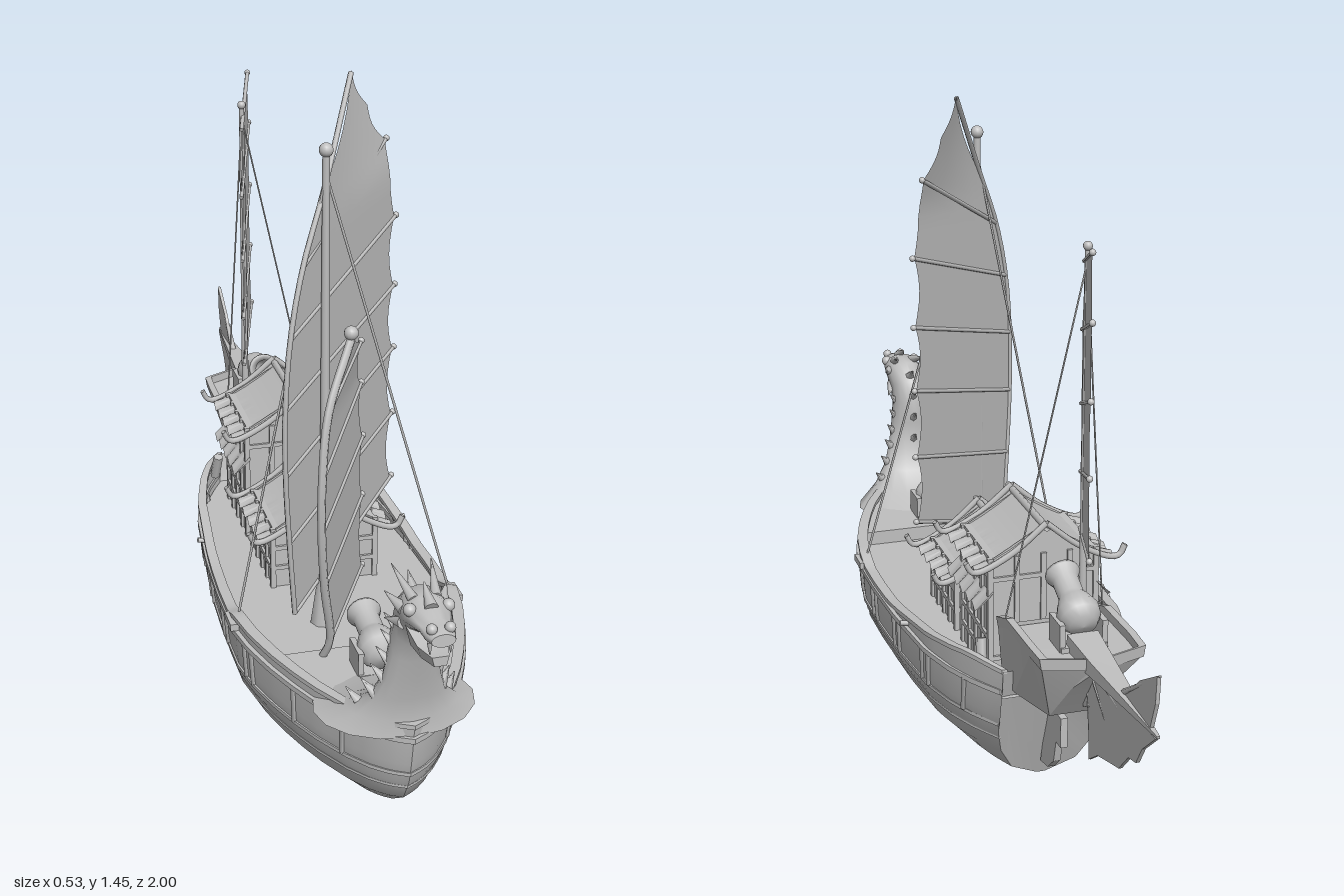
import * as THREE from 'three';
import { toCreasedNormals } from 'three/addons/utils/BufferGeometryUtils.js';

const grey = new THREE.MeshStandardMaterial({ color: 0xbfbfbf, side: THREE.DoubleSide });
grey.name = 'plain grey';
const V = (x, y, z) => new THREE.Vector3(x, y, z);

function lerpTable(table, k, col) {
  let i = 1;
  while (i < table.length - 1 && table[i][0] < k) i++;
  const a = table[i - 1], b = table[i];
  return THREE.MathUtils.lerp(a[col], b[col], THREE.MathUtils.clamp((k - a[0]) / (b[0] - a[0]), 0, 1));
}

export function createModel() {
  const ship = new THREE.Group();
  ship.name = 'dragonJunk';
  const add = (name, geo) => {
    const m = new THREE.Mesh(geo, grey);
    m.name = name;
    ship.add(m);
    return m;
  };
  // Skin a list of rings of points; closed joins each ring, caps fill the ends
  const loft = (name, rings, closed = false, caps = false, crease = 0.6) => {
    const n = rings[0].length, pos = [], idx = [];
    rings.forEach(r => r.forEach(p => pos.push(p.x, p.y, p.z)));
    for (let i = 0; i < rings.length - 1; i++)
      for (let j = 0; j < (closed ? n : n - 1); j++) {
        const a = i * n + j, b = i * n + (j + 1) % n;
        idx.push(a, b, a + n, b, b + n, a + n);
      }
    if (caps) for (let j = 1; j < n - 1; j++) {
      const e = (rings.length - 1) * n;
      idx.push(0, j + 1, j, e, e + j, e + j + 1);
    }
    const g = new THREE.BufferGeometry();
    g.setAttribute('position', new THREE.Float32BufferAttribute(pos, 3));
    g.setIndex(idx);
    return add(name, toCreasedNormals(g, crease));
  };
  const tube = (name, pts, r, sides = 6) =>
    add(name, new THREE.TubeGeometry(new THREE.CatmullRomCurve3(pts), pts.length > 2 ? 24 : 1, r, sides));
  const pole = (name, a, b, r0, r1, sides = 8) => {
    const d = b.clone().sub(a);
    const m = add(name, new THREE.CylinderGeometry(r1, r0, d.length(), sides));
    m.position.copy(a).addScaledVector(d, 0.5);
    m.quaternion.setFromUnitVectors(V(0, 1, 0), d.normalize());
    return m;
  };
  const box = (name, w, h, d, x, y, z) => add(name, new THREE.BoxGeometry(w, h, d)).position.set(x, y, z);
  const ball = (name, r, p) => add(name, new THREE.SphereGeometry(r, 14, 10)).position.copy(p);
  const plate = (name, pts, t) => {
    const g = new THREE.ExtrudeGeometry(new THREE.Shape(pts.map(p => new THREE.Vector2(-p[0], p[1]))), { depth: t, bevelEnabled: false });
    add(name, g.translate(0, 0, -t / 2).rotateY(Math.PI / 2));
  };

  // Hull lines: height, half width, bow z, stern z; then plan fullness and sheer
  const levels = [[0, 0.02, 0.58, -0.32], [0.035, 0.15, 0.70, -0.34], [0.09, 0.212, 0.775, -0.36],
    [0.15, 0.24, 0.81, -0.385], [0.2, 0.246, 0.823, -0.41], [0.27, 0.25, 0.835, -0.43], [0.34, 0.25, 0.84, -0.44]];
  const plan = [[0, 0], [0.015, 0.14], [0.04, 0.28], [0.08, 0.43], [0.145, 0.61], [0.2, 0.73], [0.26, 0.84], [0.33, 0.94],
    [0.4, 1], [0.52, 1], [0.655, 0.97], [0.81, 0.89], [0.89, 0.78], [0.95, 0.65], [1, 0.5]];
  const sheer = [[0, 0.3], [0.4, 0.3], [0.44, 0.28], [0.6, 0.28], [0.93, 0.33], [1, 0.32]];
  const hullAt = (t, y, s, grow = 0) => V(s * (lerpTable(levels, y, 1) + grow) * lerpTable(plan, t, 1), y,
    THREE.MathUtils.lerp(lerpTable(levels, y, 2) + grow, lerpTable(levels, y, 3), t));
  const ts = Array.from({ length: 49 }, (_, i) => (i / 48) ** 1.4);
  loft('hull', ts.map(t => {
    const ys = [0, 0.035, 0.06, 0.09, 0.12, 0.15, 0.2, 0.27, lerpTable(sheer, t, 1)];
    return [...ys.slice().reverse().map(y => hullAt(t, y, 1)), ...ys.map(y => hullAt(t, y, -1))];
  }), false, true);
  const deck = (name, y, t0, t1) => loft(name, Array.from({ length: 25 }, (_, i) => {
    const t = t0 + (t1 - t0) * i / 24;
    return [hullAt(t, y, 1, -0.004), hullAt(t, y, -1, -0.004)];
  }));
  deck('mainDeck', 0.25, 0.2, 1);
  deck('foreDeck', 0.285, 0.005, 0.27);
  const brk = hullAt(0.27, 0.268, 1);
  box('foreDeckStep', brk.x * 2 - 0.01, 0.034, 0.01, 0, 0.268, brk.z);

  // Rails, rubbing strakes and raised panel frames on both sides
  for (const s of [1, -1]) {
    const strake = (name, yOf, h, inn, out) => loft(name, ts.map(t => {
      const y = yOf(t), a = hullAt(t, y, s, -inn), b = hullAt(t, y, s, out);
      return [a, b, V(b.x, y + h, b.z), V(a.x, y + h, a.z)];
    }), true, true);
    strake('capRail', t => lerpTable(sheer, t, 1) - 0.005, 0.01, 0.018, 0.006);
    strake('upperStrake', () => 0.262, 0.012, 0.005, 0.01);
    strake('middleStrake', () => 0.17, 0.008, 0.005, 0.005);
    strake('lowerStrake', () => 0.13, 0.006, 0.005, 0.004);
    for (const t of [0.09, 0.2, 0.33, 0.36, 0.48, 0.51, 0.63, 0.66, 0.78, 0.81, 0.92])
      pole('panelFrame', hullAt(t, 0.175, s), hullAt(t, 0.265, s), 0.007, 0.007, 4);
    box('chainPlate', 0.03, 0.016, 0.06, s * 0.25, 0.282, 0.32);
    pole('oarPin', V(s * 0.225, 0.28, -0.06), V(s * 0.255, 0.285, -0.06), 0.006, 0.006);
  }

  // Rudder
  plate('rudder', [[-0.34, 0.04], [-0.39, 0.05], [-0.43, 0.085], [-0.445, 0.14], [-0.475, 0.14], [-0.475, 0.21], [-0.39, 0.21]], 0.016);

  // Overhanging stern castle: z, top, bottom, top half width, bottom half width
  const stern = [[-0.35, 0.41, 0.265, 0.11, 0.1], [-0.43, 0.44, 0.265, 0.113, 0.098], [-0.58, 0.445, 0.28, 0.113, 0.07],
    [-0.645, 0.445, 0.37, 0.11, 0.045], [-0.685, 0.45, 0.42, 0.015, 0.01]];
  loft('sternCastle', stern.map(([z, t, b, w, v]) => [V(w, t - 0.02, z), V(v, b, z), V(-v, b, z), V(-w, t - 0.02, z)]), true, true, 0.2);
  for (const s of [1, -1])
    loft('sternRail', stern.map(([z, t, , w]) => [V(s * w, t - 0.025, z), V(s * (w + 0.004), t, z), V(s * Math.max(0, w - 0.012), t, z),
      V(s * Math.max(0, w - 0.012), t - 0.025, z)]), true, true, 0.2);

  // Fish tail fin with ribs
  loft('tailSpine', [[-0.58, 0.034, 0.05], [-0.7, 0.026, 0.032], [-0.85, 0.014, 0.018], [-1, 0.003, 0.005]].map(([z, w, h]) =>
    [V(w, 0.435 + h / 2, z), V(w, 0.435 - h / 2, z), V(-w, 0.435 - h / 2, z), V(-w, 0.435 + h / 2, z)]), true, true, 0.2);
  plate('upperTailFin', [[-0.83, 0.44], [-0.91, 0.51], [-0.995, 0.56], [-0.99, 0.5], [-0.965, 0.435]], 0.008);
  plate('lowerTailFin', [[-0.6, 0.42], [-0.6, 0.3], [-0.635, 0.32], [-0.64, 0.2], [-0.69, 0.235], [-0.74, 0.25], [-0.81, 0.27],
    [-0.86, 0.32], [-0.9, 0.33], [-0.93, 0.375], [-0.995, 0.43]], 0.008);
  for (const [z, y] of [[-0.64, 0.2], [-0.81, 0.27], [-0.93, 0.375]])
    pole('tailRib', V(0, 0.42, -0.62), V(0, y, z), 0.008, 0.002, 6);
  pole('tailRib', V(0, 0.44, -0.82), V(0, 0.56, -0.998), 0.008, 0.002, 6);

  // Dragon neck and head: front z, y, back z, y, half width
  loft('dragonNeck', [[0.83, 0.27, 0.56, 0.275, 0.17], [0.826, 0.31, 0.67, 0.305, 0.115], [0.832, 0.36, 0.74, 0.345, 0.078], [0.845, 0.41, 0.772, 0.4, 0.06],
    [0.857, 0.46, 0.77, 0.47, 0.05], [0.87, 0.5, 0.767, 0.53, 0.044], [0.885, 0.53, 0.785, 0.58, 0.043], [0.9, 0.55, 0.835, 0.618, 0.047],
    [0.915, 0.56, 0.895, 0.626, 0.045], [0.945, 0.57, 0.94, 0.604, 0.032], [0.975, 0.57, 0.97, 0.606, 0.031], [0.997, 0.574, 0.995, 0.6, 0.024]].map(([fz, fy, bz, by, w]) =>
    Array.from({ length: 16 }, (_, i) => {
      const a = i / 16 * Math.PI * 2, c = Math.cos(a) / 2;
      return V(Math.sin(a) * w, (fy + by) / 2 + c * (fy - by), (fz + bz) / 2 + c * (fz - bz));
    })), true, true, 1.2);
  loft('lowerJaw', [[0.88, 0.56, 0.515, 0.038], [0.93, 0.542, 0.515, 0.03], [0.982, 0.545, 0.525, 0.017]].map(([z, t, b, w]) =>
    [V(w, t, z), V(w * 0.7, b, z), V(-w * 0.7, b, z), V(-w, t, z)]), true, true, 0.5);
  for (const s of [1, -1]) {
    ball('eye', 0.013, V(s * 0.038, 0.607, 0.905));
    ball('nostril', 0.011, V(s * 0.018, 0.604, 0.978));
    pole('horn', V(s * 0.022, 0.612, 0.88), V(s * 0.04, 0.645, 0.79), 0.012, 0.001);
    pole('ear', V(s * 0.038, 0.59, 0.87), V(s * 0.062, 0.605, 0.82), 0.014, 0.001);
    pole('cheekSpike', V(s * 0.036, 0.555, 0.86), V(s * 0.058, 0.54, 0.81), 0.014, 0.001);
    pole('fang', V(s * 0.02, 0.575, 0.975), V(s * 0.02, 0.55, 0.978), 0.006, 0.001);
    for (const [x, y, z] of [[0.1, 0.32, 0.76], [0.078, 0.355, 0.79], [0.063, 0.395, 0.805], [0.054, 0.435, 0.81], [0.046, 0.475, 0.815], [0.042, 0.515, 0.82]])
      pole('neckScale', V(s * (x - 0.012), y, z), V(s * (x + 0.014), y + 0.03, z - 0.022), 0.014, 0.001, 6);
  }
  for (const [y, z] of [[0.42, 0.772], [0.48, 0.77], [0.54, 0.77], [0.59, 0.795]])
    pole('crestSpine', V(0, y, z + 0.01), V(0, y + 0.025, z - 0.025), 0.012, 0.001, 6);
  pole('brow', V(0, 0.615, 0.92), V(0, 0.642, 0.87), 0.014, 0.002);

  // Cabins with panelled walls and wavy sagging gable roofs
  const cabin = (z0, z1, eave, ridge) => {
    const zm = (z0 + z1) / 2, len = z0 - z1 - 0.04, h = eave + 0.02 - 0.25;
    box('cabinWalls', 0.24, h, len, 0, 0.25 + h / 2, zm);
    const roofAt = (f, z, drop = 0) => V(f * 0.15, ridge - (ridge - eave) * (1.35 * Math.abs(f) - 0.35 * f * f) - drop, z);
    loft('cabinRoof', Array.from({ length: 33 }, (_, i) => {
      const z = z0 + (z1 - z0) * i / 32, wave = 0.007 * Math.cos(i / 32 * Math.PI * 10);
      return [-1.05, -0.75, -0.5, -0.25, 0, 0.25, 0.5, 0.75, 1.05].map(f => roofAt(f, z, Math.abs(f) > 1 ? wave : 0));
    }));
    for (const z of [z0, z1]) {
      for (const s of [1, -1])
        tube('roofSpar', [roofAt(0, z, -0.01), roofAt(s * 0.5, z), roofAt(s, z), V(s * 0.168, eave + 0.003, z), V(s * 0.18, eave + 0.025, z)], 0.007);
      const inner = z + (z === z0 ? -0.02 : 0.02);
      loft('gable', [[V(-0.12, eave + 0.015, inner), V(0.12, eave + 0.015, inner)], [V(0, ridge, inner), V(0, ridge, inner)]]);
      for (const x of [-0.12, -0.06, 0, 0.06, 0.12]) box('wallPost', 0.012, h, 0.012, x, 0.25 + h / 2, inner);
      for (const y of [0.3, eave - 0.03]) box('wallBeam', 0.24, 0.01, 0.012, 0, y, inner);
    }
    tube('ridgePole', [V(0, ridge, z0 + 0.025), V(0, ridge, z1 - 0.005)], 0.008);
    for (const s of [1, -1]) {
      for (let i = 0; i < 5; i++) box('wallPost', 0.012, h, 0.012, s * 0.12, 0.25 + h / 2, zm - len / 2 + len * i / 4);
      for (const y of [0.3, 0.35, eave - 0.02]) box('wallBeam', 0.012, 0.01, len, s * 0.12, y, zm);
    }
  };
  cabin(0.16, -0.08, 0.38, 0.47);
  cabin(-0.1, -0.345, 0.515, 0.6);
  for (const s of [1, -1])
    loft('lowerEave', Array.from({ length: 33 }, (_, i) => {
      const z = -0.1 - 0.24 * i / 32;
      return [V(s * 0.115, 0.46, z), V(s * 0.152, 0.42 + 0.006 * Math.cos(i / 32 * Math.PI * 10), z)];
    }));

  // Battened sails: rows of leading z, y and trailing z, y from foot to peak
  const sail = (name, rows, xOf, lead, battens) => {
    const at = (z, y) => V(xOf(z, y), y, z);
    const rings = [];
    for (let i = 0; i < rows.length - 1; i++)
      for (let k = 0; k < 6; k++) {
        const f = k / 6, r = rows[i].map((v, c) => v + (rows[i + 1][c] - v) * f), dip = 0.014 * Math.sin(Math.PI * f);
        rings.push([0, 0.25, 0.5, 0.75, 1].map(u => at(r[0] - lead * dip + (r[2] + dip - r[0] + lead * dip) * u, r[1] + (r[3] - r[1]) * u)));
      }
    const e = rows[rows.length - 1];
    rings.push([0, 0.25, 0.5, 0.75, 1].map(u => at(e[0] + (e[2] - e[0]) * u, e[1] + (e[3] - e[1]) * u)));
    loft(name, rings, false, false, 1);
    rows.slice(0, battens).forEach(r => {
      const a = at(r[0], r[1]), b = at(r[2] - 0.006, r[3]);
      pole(name + 'Batten', a, b, 0.005, 0.005, 6);
      ball(name + 'BattenTip', 0.007, b);
    });
    return rows.map(r => at(r[0], r[1]));
  };
  const mainEdge = sail('mainSail', [[0.385, 0.32, 0.085, 0.47], [0.4, 0.5, 0.085, 0.63], [0.41, 0.66, 0.085, 0.79], [0.41, 0.81, 0.085, 0.94], [0.395, 0.96, 0.085, 1.1],
    [0.36, 1.1, 0.085, 1.275], [0.3, 1.24, 0.11, 1.36], [0.145, 1.44, 0.14, 1.445]],
  (z, y) => -0.06 + (0.315 - z) * (1.0 - Math.max(0, y - 1.2) * 1.4), 0, 6);
  tube('mainYard', mainEdge, 0.006);
  const foreEdge = sail('foreSail', [[0.53, 0.33, 0.33, 0.385], [0.565, 0.48, 0.335, 0.56], [0.582, 0.61, 0.335, 0.7], [0.58, 0.73, 0.35, 0.83], [0.55, 0.86, 0.4, 0.945], [0.475, 0.985, 0.465, 0.99]],
    (z, y) => -0.115 + (0.57 - z) * 0.62 + Math.max(0, y - 0.85) * 0.16, 0, 5);
  tube('foreMast', [V(-0.1, 0.285, 0.51), ...foreEdge], 0.009);
  ball('foreMastKnob', 0.015, foreEdge[foreEdge.length - 1].clone().add(V(0, 0.012, 0)));
  sail('mizzenSail', [[-0.355, 0.595, -0.64, 0.645], [-0.345, 0.72, -0.615, 0.81], [-0.34, 0.87, -0.615, 0.97], [-0.335, 1.03, -0.62, 1.13], [-0.37, 1.185, -0.595, 1.262]],
    z => -0.075 - (z + 0.345) * 0.29, 1, 5);

  // Masts, shrouds and stays
  pole('mainMast', V(-0.045, 0.25, 0.315), V(-0.045, 1.33, 0.315), 0.013, 0.008);
  pole('mainMastStep', V(-0.045, 0.25, 0.315), V(-0.045, 0.36, 0.315), 0.032, 0.016);
  ball('mainMastKnob', 0.015, V(-0.045, 1.33, 0.315));
  pole('mizzenMast', V(-0.055, 0.4, -0.425), V(-0.055, 1.23, -0.425), 0.009, 0.006);
  ball('mizzenMastKnob', 0.01, V(-0.055, 1.23, -0.425));
  for (const s of [1, -1]) {
    pole('mainShroud', V(s * 0.242, 0.29, 0.32), V(-0.045, 1.28, 0.315), 0.003, 0.003, 5);
    pole('mizzenStay', V(s * 0.11, 0.42, -0.4), V(-0.055, 1.2, -0.425), 0.002, 0.002, 5);
    pole('sternPost', V(s * 0.15, 0.3, -0.36), V(s * 0.145, 0.36, -0.34), 0.012, 0.012, 6);
  }

  // Bulbous cannons on cradles
  const barrel = [[0, 0], [0.03, 0.005], [0.044, 0.025], [0.046, 0.045], [0.036, 0.07], [0.028, 0.085], [0.028, 0.13], [0.038, 0.15], [0.036, 0.158], [0.022, 0.158], [0.02, 0.1], [0, 0.1]];
  const cannon = (y, z, tilt) => {
    const m = add('cannon', new THREE.LatheGeometry(barrel.map(p => new THREE.Vector2(...p)), 18));
    m.position.set(0, y, z);
    m.rotation.x = tilt;
  };
  cannon(0.325, 0.62, -1.4);
  cannon(0.475, -0.59, 1.15);
  for (const [y, z] of [[0.31, 0.58], [0.455, -0.555]]) {
    for (const s of [1, -1]) box('cannonCradle', 0.012, 0.06, 0.07, s * 0.046, y, z);
    box('cradleBase', 0.1, 0.012, 0.08, 0, y - 0.025, z);
  }
  return ship;
}
